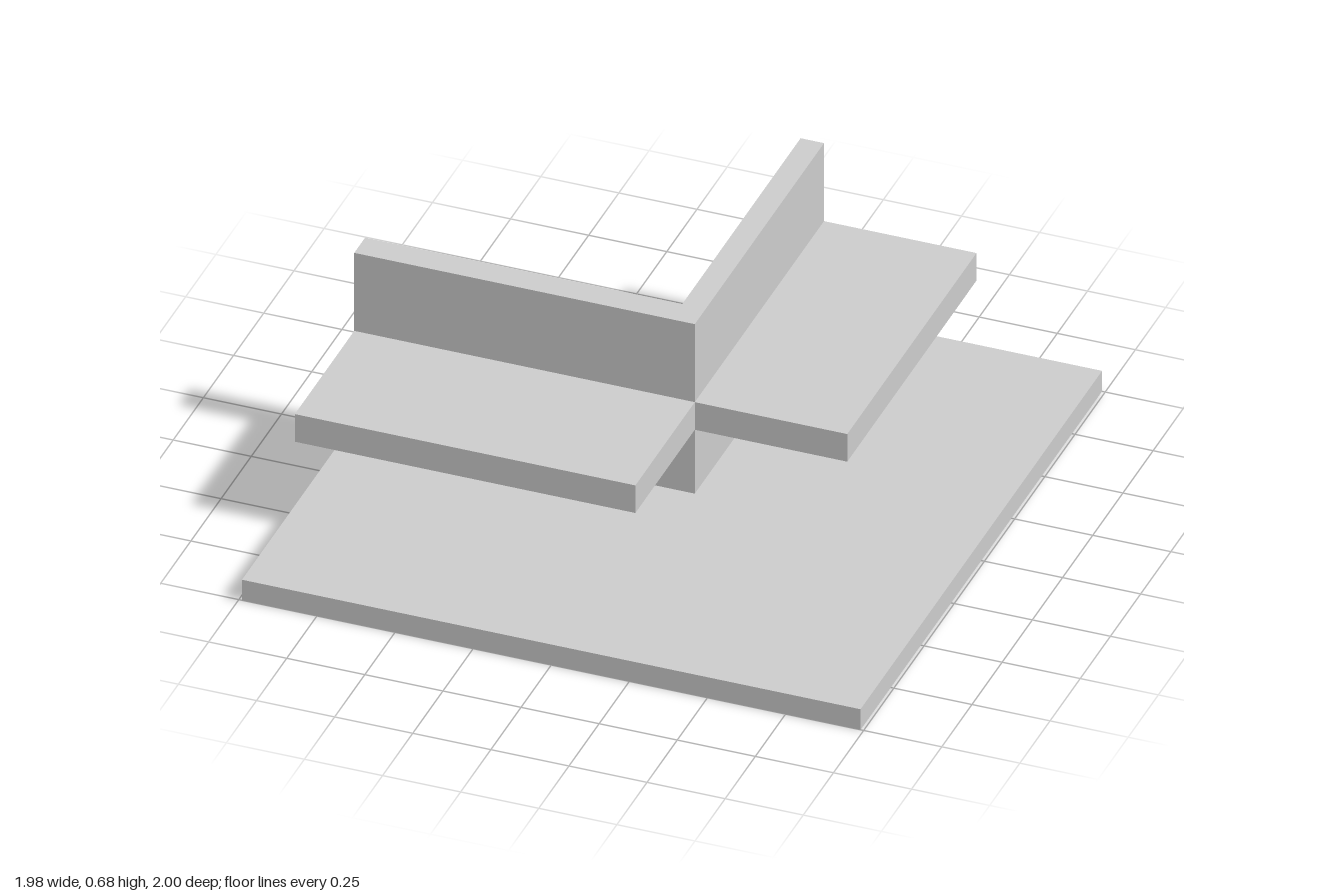
import * as THREE from 'three';

const material = new THREE.MeshStandardMaterial({ color: 0xcccccc, flatShading: true });

// Slab with a plan outline of [x, z] points, between two heights
function slab(name, outline, bottom, top) {
  const shape = new THREE.Shape(outline.map(([x, z]) => new THREE.Vector2(x, z)));
  const geometry = new THREE.ExtrudeGeometry(shape, { depth: top - bottom, bevelEnabled: false });
  geometry.rotateX(Math.PI / 2).translate(0, top, 0);
  const mesh = new THREE.Mesh(geometry, material);
  mesh.name = name;
  return mesh;
}

const rect = (x0, x1, z0, z1) => [[x0, z0], [x1, z0], [x1, z1], [x0, z1]];

// L-shaped outline sharing the inner corner at the back left
const left = -0.99, back = -1, innerX = 0.025, innerZ = -0.02;
const ell = (x, z) => [[left, innerZ], [innerX, innerZ], [innerX, back], [x, back], [x, z], [left, z]];

export function createModel() {
  const group = new THREE.Group();
  group.name = 'cornerShelf';

  const wallX = 0.1, wallZ = 0.07;
  group.add(
    // Floor and the upright corner wall along its inner edges
    slab('floor', ell(0.99, 1), 0, 0.073),
    slab('cornerWall', ell(wallX, wallZ), 0.073, 0.675),
    // One shelf on each wing of the wall, meeting at the corner edge
    slab('leftShelf', rect(wallX, 0.588, back, wallZ), 0.3, 0.398),
    slab('rightShelf', rect(left, wallX, wallZ, 0.562), 0.3, 0.398),
  );
  return group;
}
